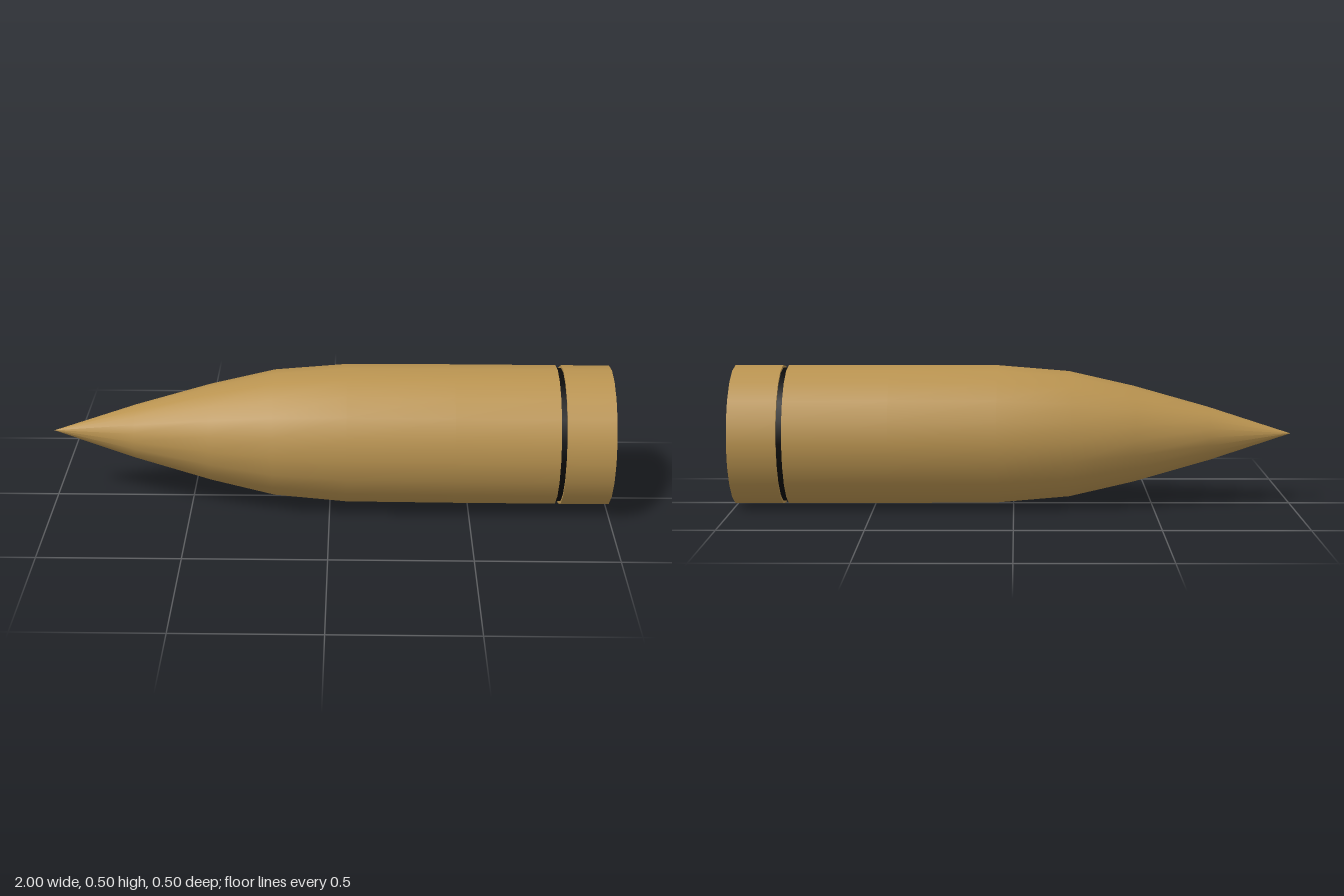
import * as THREE from 'three';

const SIDES = 20;

// Turned part from [position along axis, radius] pairs, ordered from nose to base
function turned(name, profile, material) {
  const points = profile.map(([along, radius]) => new THREE.Vector2(radius, along));
  const mesh = new THREE.Mesh(new THREE.LatheGeometry(points, SIDES), material);
  mesh.name = name;
  return mesh;
}

export function createModel() {
  const brass = new THREE.MeshStandardMaterial({ color: 0xb99350 });
  brass.name = 'brass';
  const black = new THREE.MeshStandardMaterial({ color: 0x0c0b0a });
  black.name = 'black';

  const axis = new THREE.Group();
  axis.name = 'projectile';

  // Pointed nose flowing smoothly into the straight body
  axis.add(turned('noseAndBody', [
    [-1, 0], [-0.7, 0.098], [-0.43, 0.175], [-0.2, 0.228],
    [0.06, 0.25], [0.44, 0.2515], [0.808, 0.2515],
  ], brass));

  // Recessed groove: front wall, dark floor, rear wall
  axis.add(turned('grooveFrontWall', [[0.808, 0.2515], [0.808, 0.242]], brass));
  axis.add(turned('grooveFloor', [[0.808, 0.242], [0.828, 0.242]], black));
  axis.add(turned('grooveRearWall', [[0.828, 0.242], [0.828, 0.2515]], brass));

  // Base band and flat end
  axis.add(turned('baseBand', [[0.828, 0.2515], [1, 0.2515]], brass));
  axis.add(turned('baseCap', [[1, 0.2515], [1, 0]], brass));

  // Lay the axis along x, with a very slight tilt
  axis.rotation.z = -Math.PI / 2 - 0.002;
  axis.position.y = 0.2555;

  const model = new THREE.Group();
  model.name = 'model';
  model.add(axis);
  return model;
}
